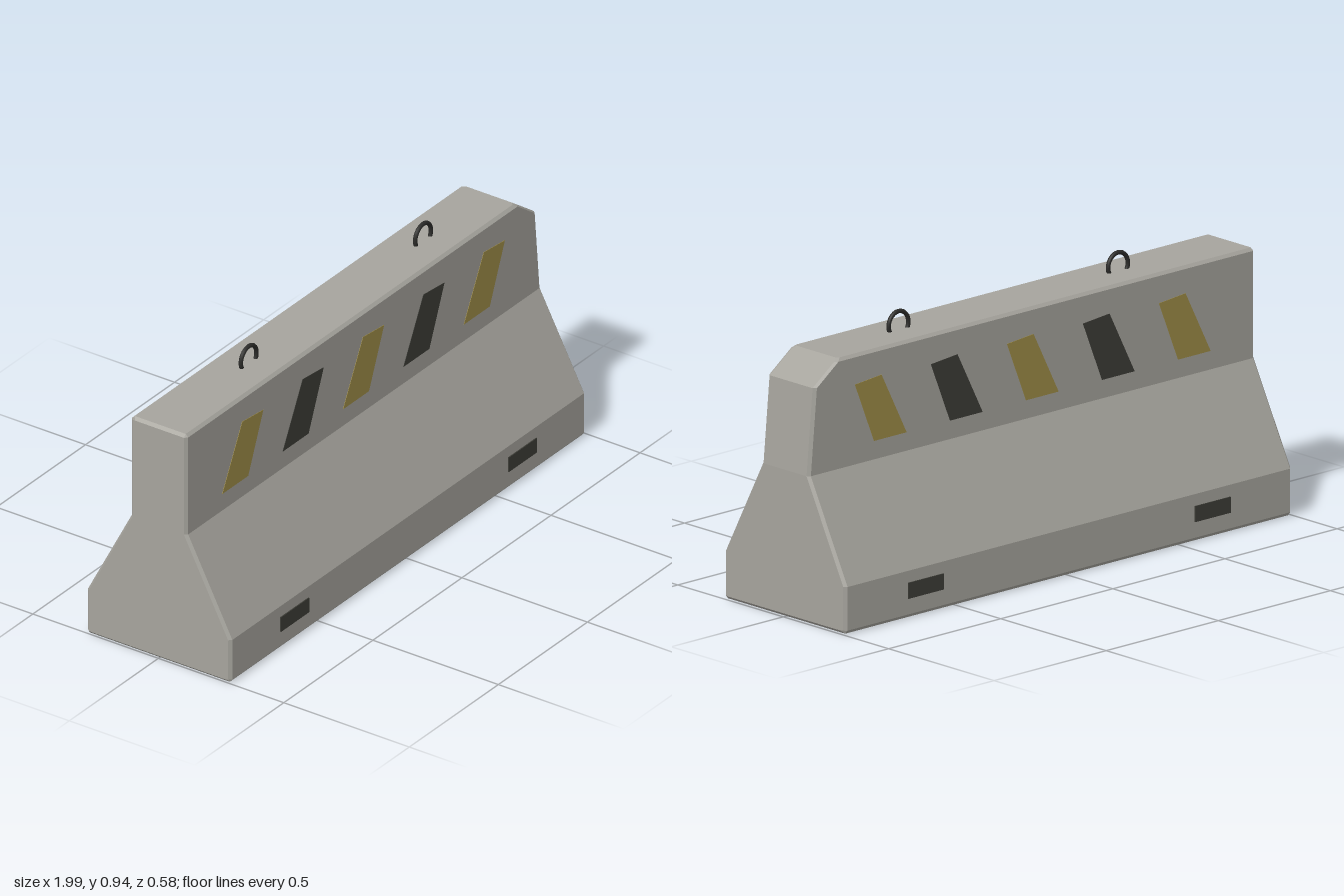
import * as THREE from 'three';

const paint = (name, color) => {
  const m = new THREE.MeshStandardMaterial({ color });
  m.name = name;
  return m;
};

// half profile [z, y] from the base up to the top bevel
const PROFILE = [[0.278, 0], [0.288, 0.012], [0.288, 0.16], [0.112, 0.497], [0.112, 0.79], [0.112, 0.86], [0.102, 0.87]];

// x of the worn end at height y: upright foot, leaning wall, chipped top corner
const END = [[0, 0.995], [0.5, 0.992], [0.79, 0.965], [0.87, 0.855]];
function endX(y) {
  for (let i = 1; i < END.length; i++) {
    const [y0, x0] = END[i - 1], [y1, x1] = END[i];
    if (y <= y1) return x0 + (x1 - x0) * (y - y0) / (y1 - y0);
  }
  return END[END.length - 1][1];
}

// full cross-section: up the front side, down the back side
function ring(xAt, inset, topDrop = 0) {
  const half = PROFILE.map(([z, y], i) => {
    const yy = i === 0 ? y + inset : Math.min(y, 0.87 - topDrop);
    return new THREE.Vector3(xAt(yy), yy, z - inset);
  });
  const back = half.map((p) => new THREE.Vector3(p.x, p.y, -p.z)).reverse();
  return [...half, ...back];
}

function bodyGeometry() {
  const b = 0.01;
  const rings = [
    ring(() => -1, b, b),
    ring(() => -1 + b, 0),
    ring((y) => endX(y) - b, 0),
    ring(endX, b),
  ];
  const pos = [];
  const quad = (p, q, r, s) => [p, q, r, p, r, s].forEach((v) => pos.push(v.x, v.y, v.z));
  const n = rings[0].length;
  for (let k = 0; k < rings.length - 1; k++) {
    const A = rings[k], B = rings[k + 1];
    for (let i = 0; i < n; i++) {
      const j = (i + 1) % n;
      quad(A[i], B[i], B[j], A[j]);
    }
  }
  // end caps as strips across the width
  const L = rings[0], R = rings[3];
  for (let i = 0; i < n / 2 - 1; i++) {
    const o = n - 1 - i;
    quad(R[i], R[o], R[o - 1], R[i + 1]);
    quad(L[o], L[i], L[i + 1], L[o - 1]);
  }
  const g = new THREE.BufferGeometry();
  g.setAttribute('position', new THREE.Float32BufferAttribute(pos, 3));
  g.computeVertexNormals();
  return g;
}

export function createModel() {
  const concrete = paint('concrete', 0xa6a49d);
  const yellow = paint('faded yellow paint', 0x9f8d48);
  const black = paint('faded black paint', 0x3d3d37);
  const steel = paint('dark steel', 0x2b2b29);

  const model = new THREE.Group();
  model.name = 'concreteBarrier';
  const add = (name, geometry, material, x = 0, y = 0, z = 0) => {
    const mesh = new THREE.Mesh(geometry, material);
    mesh.name = name;
    mesh.position.set(x, y, z);
    model.add(mesh);
    return mesh;
  };

  add('barrierBody', bodyGeometry(), concrete);

  // slanted warning stripes, on both faces
  const stripe = new THREE.Shape([[0, 0.56], [0.145, 0.56], [0.23, 0.768], [0.112, 0.778]].map(([x, y]) => new THREE.Vector2(x, y)));
  const stripeGeo = new THREE.ExtrudeGeometry(stripe, { depth: 0.003, bevelEnabled: false });
  for (let i = 0; i < 5; i++) {
    const material = i % 2 ? black : yellow;
    const x = -0.8 + i * 0.339;
    add('frontStripe', stripeGeo, material, x, 0, 0.1105);
    add('backStripe', stripeGeo, material, x, 0, -0.1135);
  }

  // forklift slots near the base, on both faces
  const slotGeo = new THREE.BoxGeometry(0.158, 0.054, 0.008);
  for (const x of [-0.643, 0.636]) {
    add('frontSlot', slotGeo, black, x, 0.093, 0.288);
    add('backSlot', slotGeo, black, x, 0.093, -0.288);
  }

  // lifting rings sunk into the top
  const ringGeo = new THREE.TorusGeometry(0.044, 0.0075, 10, 28);
  for (const x of [-0.493, 0.486]) add('liftingRing', ringGeo, steel, x, 0.888, 0);

  return model;
}
